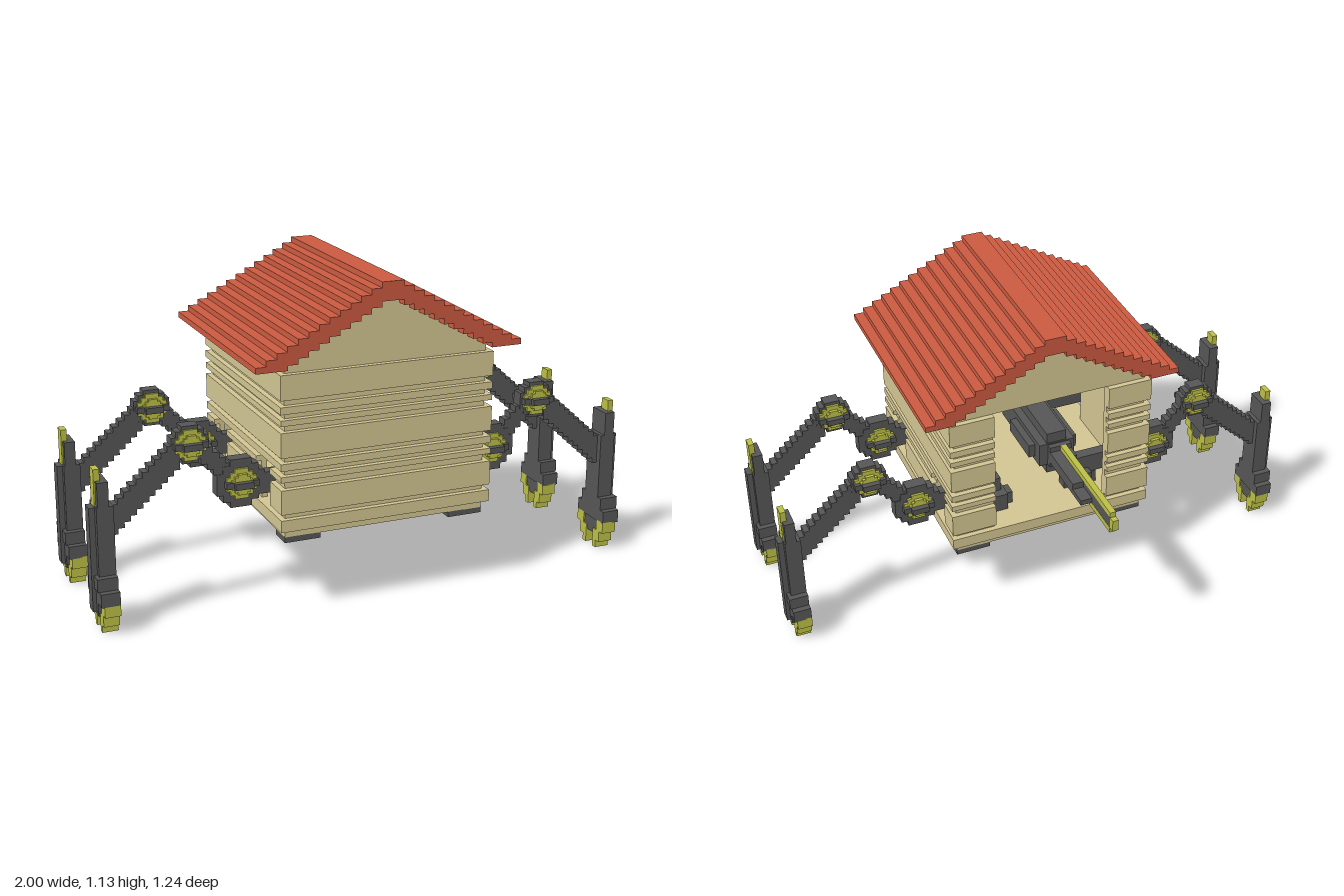
import * as THREE from 'three';

const mat = (name, color) => Object.assign(new THREE.MeshStandardMaterial({ color }), { name });

export function createModel() {
  const wood = mat('tanWood', 0xd2c592);
  const tile = mat('redRoof', 0xca5a40);
  const iron = mat('darkIron', 0x565656);
  const brass = mat('oliveBrass', 0xbcbf46);
  const model = new THREE.Group();
  model.name = 'walkingHut';
  const V = 0.0216; // block size

  const group = (name, parent = model) => {
    const g = new THREE.Group();
    g.name = name;
    parent.add(g);
    return g;
  };
  // box from min/max limits
  const box = (parent, name, m, x0, x1, y0, y1, z0, z1) => {
    const mesh = new THREE.Mesh(new THREE.BoxGeometry(Math.abs(x1 - x0), y1 - y0, z1 - z0), m);
    mesh.position.set((x0 + x1) / 2, (y0 + y1) / 2, (z0 + z1) / 2);
    mesh.name = name;
    parent.add(mesh);
  };
  // split a span around openings [a, b]
  const split = (a, b, holes) => {
    const out = [];
    for (const [h0, h1] of holes) {
      out.push([a, h0]);
      a = h1;
    }
    out.push([a, b]);
    return out;
  };

  // log walls: alternating proud and recessed courses
  const walls = group('walls');
  const proud = [[0.31, 0.352], [0.372, 0.458], [0.485, 0.505], [0.525, 0.55], [0.57, 0.657],
    [0.68, 0.7], [0.72, 0.745], [0.767, 0.853]];
  const courses = [];
  let y = 0.283;
  for (const [a, b] of proud) {
    courses.push([y, a, 0], [a, b, 0.02]);
    y = b;
  }
  courses.push([y, 0.875, 0]);
  const legZ = [-0.008, 0.426];
  for (const [y0, y1, d] of courses) {
    const z0 = -0.14 - d, z1 = 0.577 + d, X = 0.368 + d;
    box(walls, 'frontCourse', wood, -0.348, 0.348, y0, y1, 0.555, z1);
    const door = y0 > 0.34 && y1 < 0.86 ? [[-0.22, 0.22]] : [];
    for (const [a, b] of split(-0.348, 0.348, door)) box(walls, 'backCourse', wood, a, b, y0, y1, z0, -0.118);
    const ports = y0 > 0.345 && y1 < 0.53 ? legZ.map((z) => [z - 0.065, z + 0.065]) : [];
    for (const s of [-1, 1]) {
      for (const [a, b] of split(z0, z1, ports)) box(walls, 'sideCourse', wood, s * 0.348, s * X, y0, y1, a, b);
    }
  }

  // stepped roof and the gables under it
  const roof = group('roof');
  const gables = group('gables');
  const W = 0.0367;
  box(roof, 'ridge', tile, -0.04, 0.04, 1.07, 1.135, -0.183, 0.617);
  for (const [z0, z1] of [[-0.14, -0.118], [0.555, 0.577]]) {
    box(gables, 'gableCentre', wood, -0.04, 0.04, 0.875, 1.07, z0, z1);
  }
  for (let i = 1; i <= 12; i++) {
    const top = 1.135 - i * V * 0.93, bottom = Math.max(0.873, top - 0.064);
    const x0 = 0.04 + (i - 1) * W, x1 = x0 + W;
    for (const s of [-1, 1]) {
      box(roof, 'roofStrip', tile, s * x0, s * x1, bottom, top, -0.183, 0.617);
      if (x0 > 0.34 || bottom < 0.88) continue;
      for (const [z0, z1] of [[-0.14, -0.118], [0.555, 0.577]]) {
        box(gables, 'gableStrip', wood, s * x0, s * Math.min(x1, 0.368), 0.875, bottom, z0, z1);
      }
    }
  }

  // floor with framed corner feet, and leg mounts passing through it
  const base = group('base');
  box(base, 'floor', wood, -0.348, 0.348, 0.33, 0.352, -0.118, 0.555);
  for (const s of [-1, 1]) {
    for (const [z0, z1] of [[-0.14, -0.055], [0.492, 0.577]]) {
      for (const x of [0.24, 0.347]) box(base, 'cornerFoot', iron, s * x, s * (x + V), 0.264, 0.284, z0, z1);
      for (const z of [z0, z1 - V]) box(base, 'cornerFoot', iron, s * (0.24 + V), s * 0.347, 0.264, 0.284, z, z + V);
    }
    for (const z of legZ) {
      const x = s * 0.17;
      box(base, 'legMount', iron, x - 0.065, x + 0.065, 0.31, 0.4, z - 0.025, z + 0.025);
      box(base, 'legMount', iron, x - 0.035, x + 0.035, 0.312, 0.42, z - 0.055, z + 0.055);
    }
  }

  // blocky octagonal disc, axis along z
  const disc = (parent, name, m, x, y0, z, r, h) => {
    for (const [a, b] of [[1, 0.45], [0.75, 0.75], [0.45, 1]]) {
      box(parent, name, m, x - r * a, x + r * a, y0 - r * b, y0 + r * b, z - h, z + h);
    }
  };
  const joint = (parent, name, x, y0, z, r) => {
    disc(parent, name + 'Disc', iron, x, y0, z, r, 0.023);
    disc(parent, name + 'Hub', brass, x, y0, z, 0.053, 0.032);
    disc(parent, name + 'Cap', brass, x, y0, z, 0.036, 0.044);
    box(parent, name + 'Bar', iron, x - 0.058, x + 0.058, y0 - 0.011, y0 + 0.011, z - 0.046, z + 0.046);
    box(parent, name + 'Pin', iron, x - 0.032, x + 0.032, y0 - 0.011, y0 + 0.011, z - 0.064, z + 0.064);
  };

  // four jointed legs
  const addLeg = (s, z) => {
    const leg = group((s > 0 ? 'left' : 'right') + (z > 0.2 ? 'FrontLeg' : 'BackLeg'));
    const part = (name, m, x0, x1, y0, y1, z0, z1) => box(leg, name, m, s * x0, s * x1, y0, y1, z + z0, z + z1);
    part('axle', iron, 0.15, 0.44, 0.4, 0.475, -0.021, 0.021);
    joint(leg, 'hip', s * 0.475, 0.45, z, 0.085);
    for (let i = 0; i < 6; i++) {
      const x = 0.505 + i * V, yy = 0.445 + i * V;
      part('hipLink', iron, x, x + V, yy, yy + 0.08, -0.02, 0.02);
    }
    joint(leg, 'knee', s * 0.65, 0.608, z, 0.065);
    for (let i = 0; i < 11; i++) {
      const x = 0.685 + i * V, yy = 0.525 - i * V * 0.9;
      part('thigh', iron, x, x + V, yy, yy + 0.105, -0.021, 0.021);
    }
    part('shin', iron, 0.92, 0.978, 0.2, 0.44, -0.043, 0.043);
    part('shinRidge', iron, 0.975, 0.998, 0.07, 0.435, -0.022, 0.022);
    part('shinTop', iron, 0.935, 0.973, 0.44, 0.525, -0.043, 0.043);
    part('shinSpike', brass, 0.957, 0.978, 0.435, 0.565, -0.021, 0.021);
    part('ankle', iron, 0.92, 0.99, 0.155, 0.2, -0.064, 0.064);
    part('foot', iron, 0.92, 0.985, 0.108, 0.155, -0.086, 0.086);
    part('sole', iron, 0.925, 0.985, 0.07, 0.108, -0.043, 0.043);
    part('soleTip', iron, 0.925, 0.98, 0.05, 0.07, -0.022, 0.022);
    for (const t of [-1, 1]) {
      const claw = (a, b, y0, y1) => part('claw', brass, 0.92, 0.975, y0, y1, Math.min(t * a, t * b), Math.max(t * a, t * b));
      claw(0.043, 0.086, 0.07, 0.112);
      claw(0.043, 0.064, 0.028, 0.07);
      claw(0.022, 0.043, 0, 0.07);
    }
  };
  for (const s of [-1, 1]) for (const z of legZ) addLeg(s, z);

  // mounted weapon in the back opening
  const gun = group('mountedBlade');
  box(gun, 'body', iron, -0.085, 0.05, 0.59, 0.68, -0.16, 0.2);
  box(gun, 'bodyTall', iron, -0.055, 0.02, 0.55, 0.72, -0.155, 0.1);
  box(gun, 'bodyWide', iron, -0.11, 0.075, 0.61, 0.66, -0.12, 0.06);
  box(gun, 'guard', iron, -0.066, 0.018, 0.59, 0.675, -0.18, -0.155);
  box(gun, 'collar', iron, -0.066, 0.018, 0.612, 0.655, -0.23, -0.18);
  box(gun, 'barrel', iron, -0.024, 0.018, 0.612, 0.632, -0.45, -0.23);
  box(gun, 'barrelTop', iron, -0.024, 0.018, 0.632, 0.655, -0.38, -0.23);
  box(gun, 'bladeCore', iron, -0.044, -0.024, 0.612, 0.655, -0.598, -0.23);
  box(gun, 'bladeEdge', brass, -0.045, -0.023, 0.655, 0.675, -0.598, -0.18);
  box(gun, 'bladeEdge', brass, -0.045, -0.023, 0.591, 0.612, -0.598, -0.18);
  box(gun, 'bladeTip', brass, -0.045, -0.023, 0.612, 0.655, -0.62, -0.598);
  return model;
}
